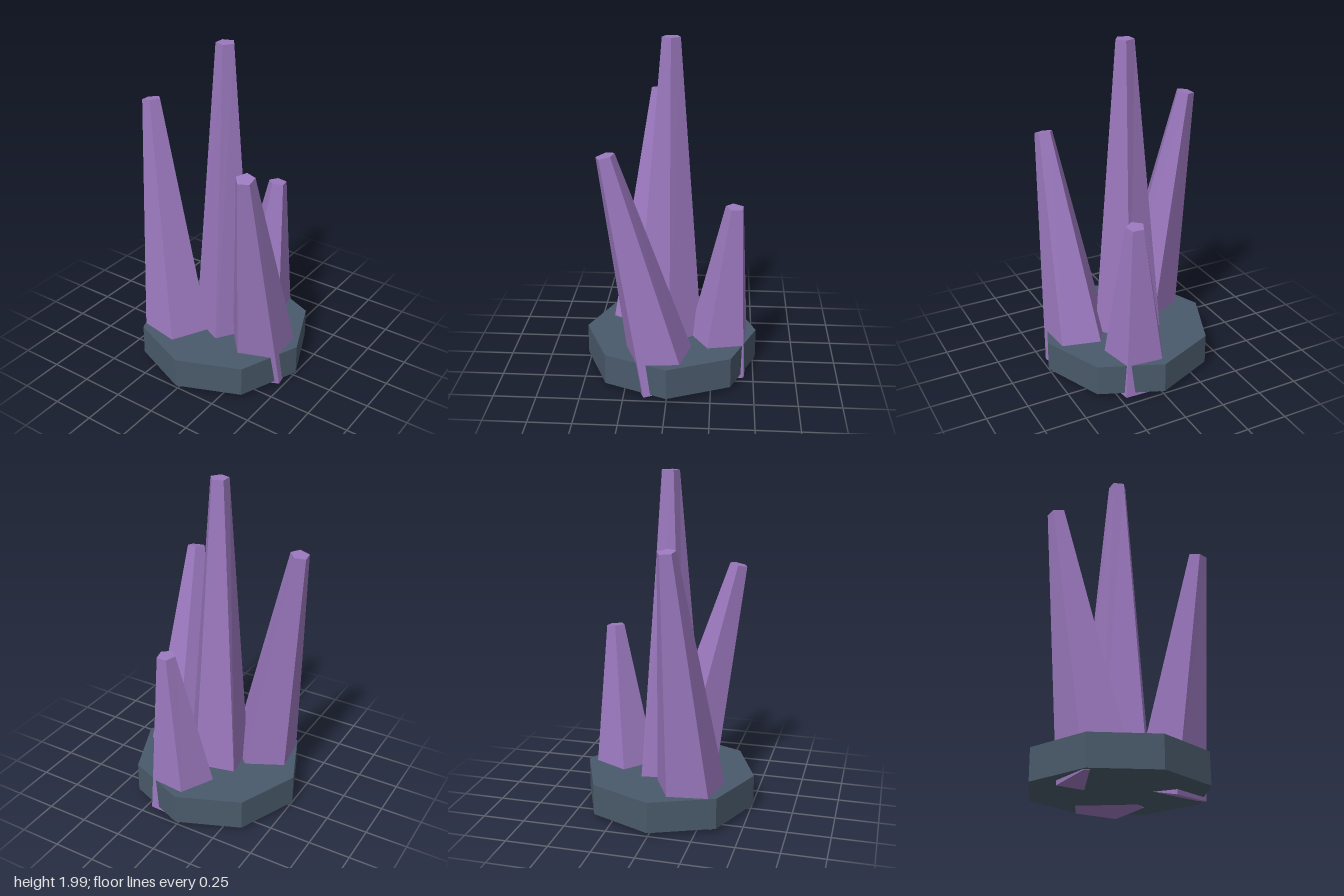
import * as THREE from 'three';

const crystalMaterial = new THREE.MeshStandardMaterial({ color: 0x9b78be, flatShading: true });
const stoneMaterial = new THREE.MeshStandardMaterial({ color: 0x4a5a6b, flatShading: true });

// Tapered five-sided crystal running from a foot centre to a tip centre.
// turn: angle in degrees of one corner, measured from +x towards +z.
// radii: foot radius of each corner, starting at that corner.
function crystal(name, foot, tip, turn, radii) {
  const from = new THREE.Vector3(...foot);
  const axis = new THREE.Vector3(...tip).sub(from);
  const length = axis.length();
  const start = THREE.MathUtils.degToRad(turn);
  const step = (Math.PI * 2) / 5;

  const geometry = new THREE.CylinderGeometry(0.055, 1, length, 5, 1, false, Math.PI / 2 - start);
  geometry.translate(0, length / 2, 0);

  // Give every foot corner its own radius
  const p = geometry.attributes.position;
  for (let i = 0; i < p.count; i++) {
    if (p.getY(i) > length / 2) continue;
    const corner = Math.round((Math.atan2(p.getZ(i), p.getX(i)) - start) / step);
    const r = radii[((corner % 5) + 5) % 5];
    p.setX(i, p.getX(i) * r);
    p.setZ(i, p.getZ(i) * r);
  }
  geometry.computeVertexNormals();

  const mesh = new THREE.Mesh(geometry, crystalMaterial);
  mesh.name = name;
  mesh.position.copy(from);
  mesh.quaternion.setFromUnitVectors(new THREE.Vector3(0, 1, 0), axis.normalize());
  return mesh;
}

export function createModel() {
  const group = new THREE.Group();
  group.name = 'crystalCluster';

  // Octagonal stone slab
  const slab = new THREE.Mesh(new THREE.CylinderGeometry(0.515, 0.515, 0.185, 8), stoneMaterial);
  slab.name = 'stoneBase';
  slab.position.y = 0.1275;
  group.add(slab);

  // Upright middle crystal with three shorter ones leaning outwards
  group.add(
    crystal('centreCrystal', [0, 0.036, 0], [0, 2, 0], 0, [0.215, 0.231, 0.193, 0.235, 0.209]),
    crystal('rightCrystal', [-0.205, 0.045, 0.19], [-0.447, 1.617, 0.097], -8, [0.222, 0.222, 0.222, 0.222, 0.226]),
    crystal('leftCrystal', [0.293, 0.052, 0.018], [0.355, 1.42, 0.335], 32, [0.222, 0.215, 0.215, 0.21, 0.215]),
    crystal('backCrystal', [0.072, 0.032, -0.285], [0.125, 1.06, -0.371], 24, [0.212, 0.215, 0.222, 0.212, 0.215]),
  );
  return group;
}
